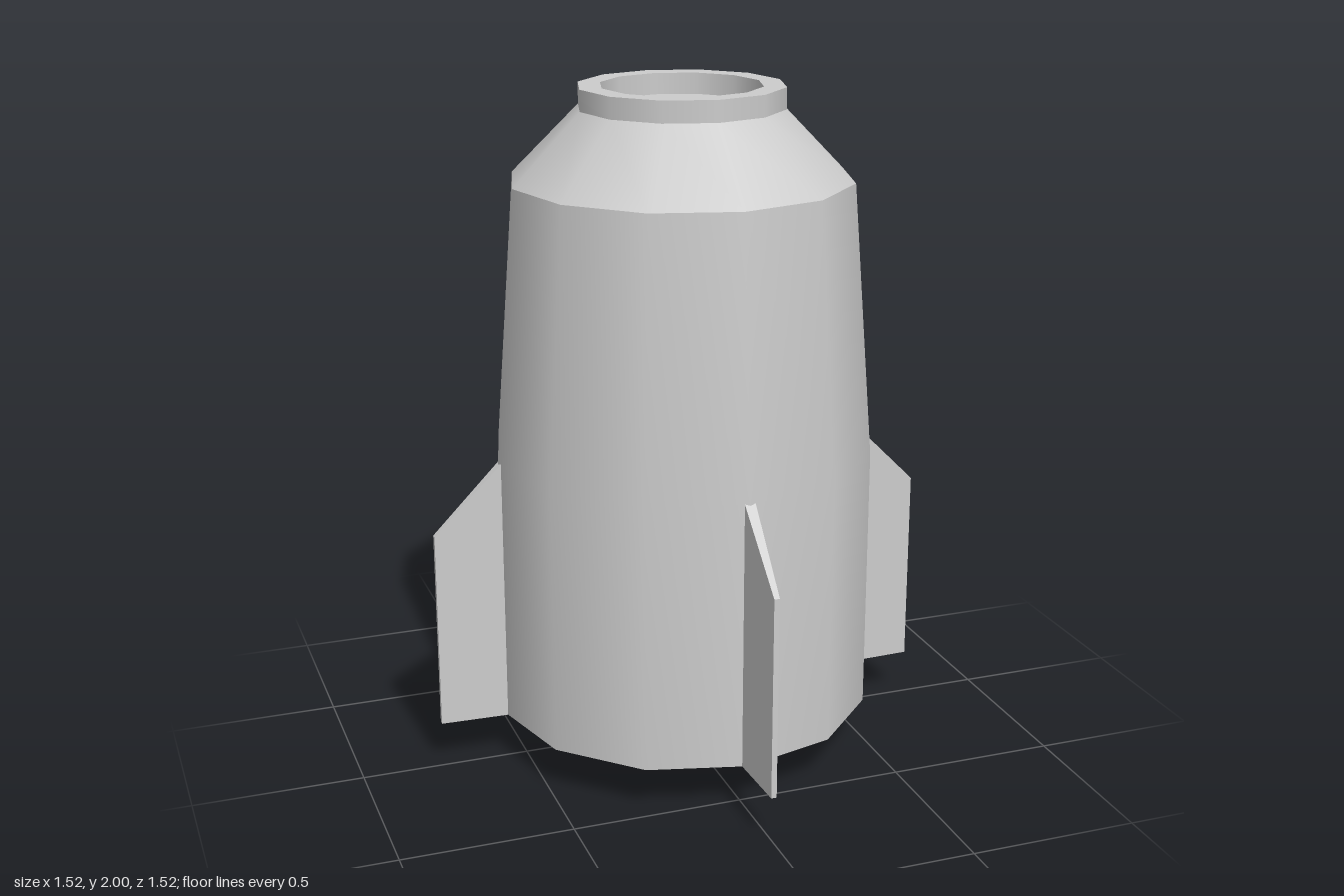
import * as THREE from 'three';

const SIDES = 12;

export function createModel() {
  const model = new THREE.Group();
  const material = new THREE.MeshStandardMaterial({ color: 0xcccccc });

  const add = (name, geometry) => {
    const mesh = new THREE.Mesh(geometry, material);
    mesh.name = name;
    model.add(mesh);
    return mesh;
  };

  // Twelve-sided hull sections, each smooth inside and creased where they meet
  const sections = {
    hullBottom: [[0, 0], [0.13, 0], [0.41, 0.07], [0.563, 0.14]],
    hullBody: [[0.563, 0.14], [0.563, 0.935], [0.5, 1.735]],
    shoulder: [[0.5, 1.735], [0.3, 1.938]],
    collarOuter: [[0.3, 1.938], [0.3, 2]],
    collarRim: [[0.3, 2], [0.235, 2]],
    collarInner: [[0.235, 2], [0.235, 1.938]],
    collarFloor: [[0.235, 1.938], [0, 1.938]],
  };
  for (const [name, profile] of Object.entries(sections)) {
    const points = profile.map(([r, y]) => new THREE.Vector2(r, y));
    add(name, new THREE.LatheGeometry(points, SIDES));
  }

  // Fin: a slab thinning outwards, with its top outer corner cut down
  const fin = new THREE.BoxGeometry(1, 1, 1);
  const pos = fin.attributes.position;
  for (let i = 0; i < pos.count; i++) {
    const outer = pos.getX(i) > 0;
    const top = pos.getY(i) > 0;
    pos.setXYZ(
      i,
      outer ? 0.76 : 0.55,
      top ? (outer ? 0.735 : 0.945) : 0.14,
      Math.sign(pos.getZ(i)) * (outer ? 0.008 : 0.016)
    );
  }
  fin.computeVertexNormals();

  ['finLeft', 'finBack', 'finRight', 'finFront'].forEach((name, i) => {
    add(name, fin).rotation.y = (i * Math.PI) / 2;
  });

  return model;
}
